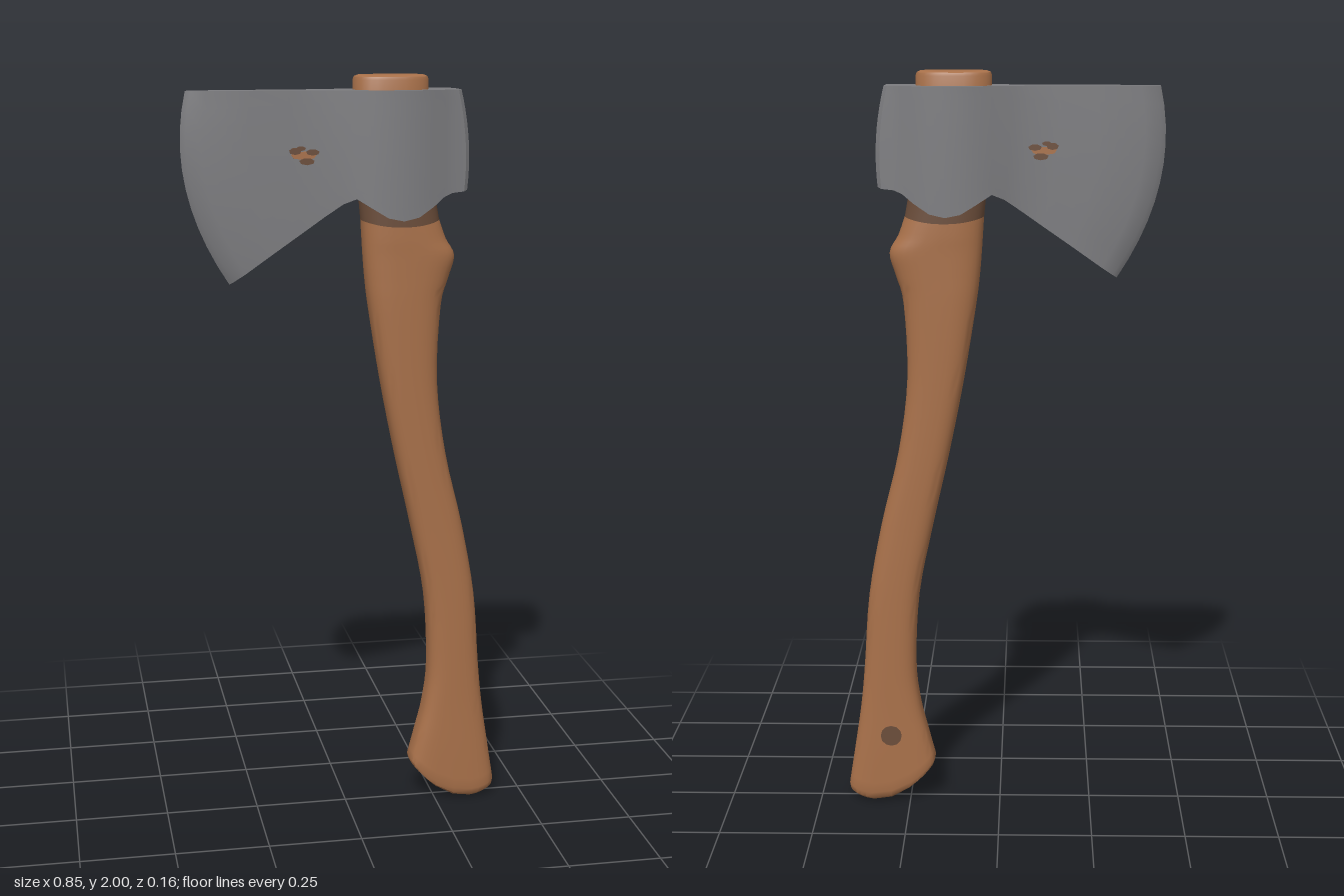
import * as THREE from 'three';
import { toCreasedNormals } from 'three/addons/utils/BufferGeometryUtils.js';

// Skin closed rings of equal length into one surface
function loft(rings, crease) {
  const n = rings[0].length, index = [];
  for (let i = 0; i < rings.length - 1; i++) {
    for (let j = 0; j < n; j++) {
      const a = i * n + j, b = i * n + (j + 1) % n;
      index.push(a, a + n, b, b, a + n, b + n);
    }
  }
  const g = new THREE.BufferGeometry().setFromPoints(rings.flat());
  g.setIndex(index);
  return toCreasedNormals(g, crease);
}

// Rounded handle section between a left and a right point
function section([xl, yl, xr, yr, hz, power, sag]) {
  const ring = [];
  for (let j = 0; j < 32; j++) {
    const a = j / 32 * Math.PI * 2, c = Math.cos(a), s = Math.sin(a);
    const u = Math.sign(c) * Math.abs(c) ** (2 / power);
    const w = Math.sign(s) * Math.abs(s) ** (2 / power);
    ring.push(new THREE.Vector3(
      (xl + xr) / 2 + u * (xr - xl) / 2,
      (yl + yr) / 2 + u * (yr - yl) / 2 - sag * (1 - u * u),
      w * hz));
  }
  return ring;
}

// Smooth in-between sections
function refine(rows, steps) {
  const curve = (f) => new THREE.CatmullRomCurve3(rows.map(f), false, 'catmullrom', 0.5);
  const left = curve(r => new THREE.Vector3(r[0], r[1], 0));
  const right = curve(r => new THREE.Vector3(r[2], r[3], 0));
  const rest = curve(r => new THREE.Vector3(r[4], r[5], r[6]));
  const out = [], n = (rows.length - 1) * steps;
  for (let i = 0; i <= n; i++) {
    const l = left.getPoint(i / n), r = right.getPoint(i / n), p = rest.getPoint(i / n);
    out.push([l.x, l.y, r.x, r.y, p.x, p.y, p.z]);
  }
  return out;
}

export function createModel() {
  const group = new THREE.Group();
  const material = (name, color) => new THREE.MeshStandardMaterial({ name, color });
  const wood = material('wood', 0xa9714a);
  const darkWood = material('dark wood', 0x6b4d3a);
  const steel = material('steel', 0x7c7c7f);
  const add = (name, geometry, mat) => {
    const mesh = new THREE.Mesh(geometry, mat);
    mesh.name = name;
    group.add(mesh);
    return mesh;
  };

  // Curved handle: left x, y, right x, y, half depth, squareness, sag
  const butt = [
    [0.195, 0.1, 0.41, 0.022, 0, 4, 0.052],
    [0.19, 0.102, 0.413, 0.024, 0.036, 4, 0.052],
    [0.183, 0.11, 0.419, 0.033, 0.047, 4, 0.052],
  ];
  const shaft = refine([
    [0.18, 0.122, 0.421, 0.048, 0.051, 4, 0.05],
    [0.2, 0.2, 0.403, 0.16, 0.051, 3.8, 0.03],
    [0.22, 0.286, 0.385, 0.28, 0.05, 3.4, 0.01],
    [0.231, 0.4, 0.373, 0.4, 0.05, 3, 0],
    [0.22, 0.6, 0.357, 0.6, 0.05, 3, 0],
    [0.18, 0.8, 0.32, 0.8, 0.05, 3, 0],
    [0.135, 1.0, 0.272, 1.0, 0.052, 3, 0],
    [0.095, 1.2, 0.246, 1.2, 0.055, 3, 0],
    [0.062, 1.4, 0.253, 1.4, 0.059, 3, 0],
    [0.052, 1.48, 0.272, 1.475, 0.06, 3, 0],
    [0.047, 1.54, 0.288, 1.535, 0.061, 3, 0],
    [0.044, 1.585, 0.265, 1.58, 0.062, 2.8, 0.005],
    [0.041, 1.63, 0.247, 1.63, 0.062, 2.6, 0.015],
  ], 4);
  add('handle', loft([...butt, ...shaft].map(section), 0.7), wood);

  // Shadowed neck that enters the head
  add('handleNeck', loft([
    [0.041, 1.63, 0.247, 1.63, 0.062, 2.6, 0.015],
    [0.036, 1.68, 0.238, 1.68, 0.062, 2.5, 0.005],
    [0.03, 1.76, 0.23, 1.76, 0.062, 2.5, 0],
  ].map(section), 0.7), darkWood);

  // Handle end standing above the head
  add('handleTop', loft([
    [0.02, 1.9, 0.215, 1.9, 0.063, 2.5, 0],
    [0.02, 1.988, 0.215, 1.988, 0.063, 2.5, 0],
    [0.023, 1.996, 0.212, 1.996, 0.06, 2.5, 0],
    [0.032, 2, 0.203, 2, 0.051, 2.5, 0],
    [0.05, 2, 0.185, 2, 0, 2.5, 0],
  ].map(section), 0.7), wood);

  // Head columns from edge to poll: x top, x middle, x bottom, y bottom, half depth
  const columns = [
    [-0.41, -0.413, -0.305, 1.47, 0],
    [-0.397, -0.4, -0.294, 1.478, 0.011],
    [-0.36, -0.362, -0.265, 1.498, 0.02],
    [-0.25, -0.25, -0.185, 1.555, 0.026],
    [-0.15, -0.15, -0.11, 1.607, 0.028],
    [-0.08, -0.075, -0.055, 1.646, 0.032],
    [-0.03, -0.025, -0.012, 1.676, 0.043],
    [0.02, 0.02, 0.02, 1.69, 0.058],
    [0.06, 0.06, 0.06, 1.665, 0.07],
    [0.1, 0.1, 0.1, 1.641, 0.077],
    [0.14, 0.14, 0.14, 1.633, 0.079],
    [0.18, 0.18, 0.18, 1.642, 0.077],
    [0.22, 0.22, 0.22, 1.668, 0.068],
    [0.25, 0.25, 0.25, 1.692, 0.058],
    [0.27, 0.272, 0.272, 1.701, 0.053],
    [0.285, 0.305, 0.303, 1.704, 0.051],
    [0.294, 0.315, 0.313, 1.708, 0.043],
    [0.295, 0.317, 0.315, 1.709, 0],
  ];
  const top = 1.963, steps = 10;
  const headRings = columns.map(([xt, xm, xb, yb, hz]) => {
    const front = [], back = [];
    for (let i = 0; i <= steps; i++) {
      const t = 1 - i / steps;
      const x = xt * (1 - t) * (1 - 2 * t) + xm * 4 * t * (1 - t) + xb * t * (2 * t - 1);
      const y = top + (yb - top) * t;
      front.push(new THREE.Vector3(x, y, hz));
      back.unshift(new THREE.Vector3(x, y, -hz));
    }
    return [...front, ...back];
  });
  add('axeHead', loft(headRings, 0.5), steel);

  // Small worn patches on both cheeks of the blade
  const patches = [
    [-0.113, 1.8, 0.034, 0.011, wood], [-0.135, 1.811, 0.016, 0.009, darkWood],
    [-0.09, 1.808, 0.018, 0.008, darkWood], [-0.105, 1.785, 0.02, 0.009, darkWood],
    [-0.12, 1.818, 0.012, 0.006, darkWood],
  ];
  for (const side of [1, -1]) {
    patches.forEach(([x, y, rx, ry, mat], i) => {
      const g = new THREE.CylinderGeometry(1, 1, 0.007, 7).rotateX(Math.PI / 2).scale(rx, ry, 1);
      add('wornPatch', g, mat).position.set(x, y, side * (0.0295 + i * 0.0003));
    });
  }

  // Dark round knot on the back of the grip
  add('gripKnot', new THREE.CylinderGeometry(0.029, 0.029, 0.006, 12).rotateX(Math.PI / 2), darkWood)
    .position.set(0.3, 0.2, -0.05);

  return group;
}
